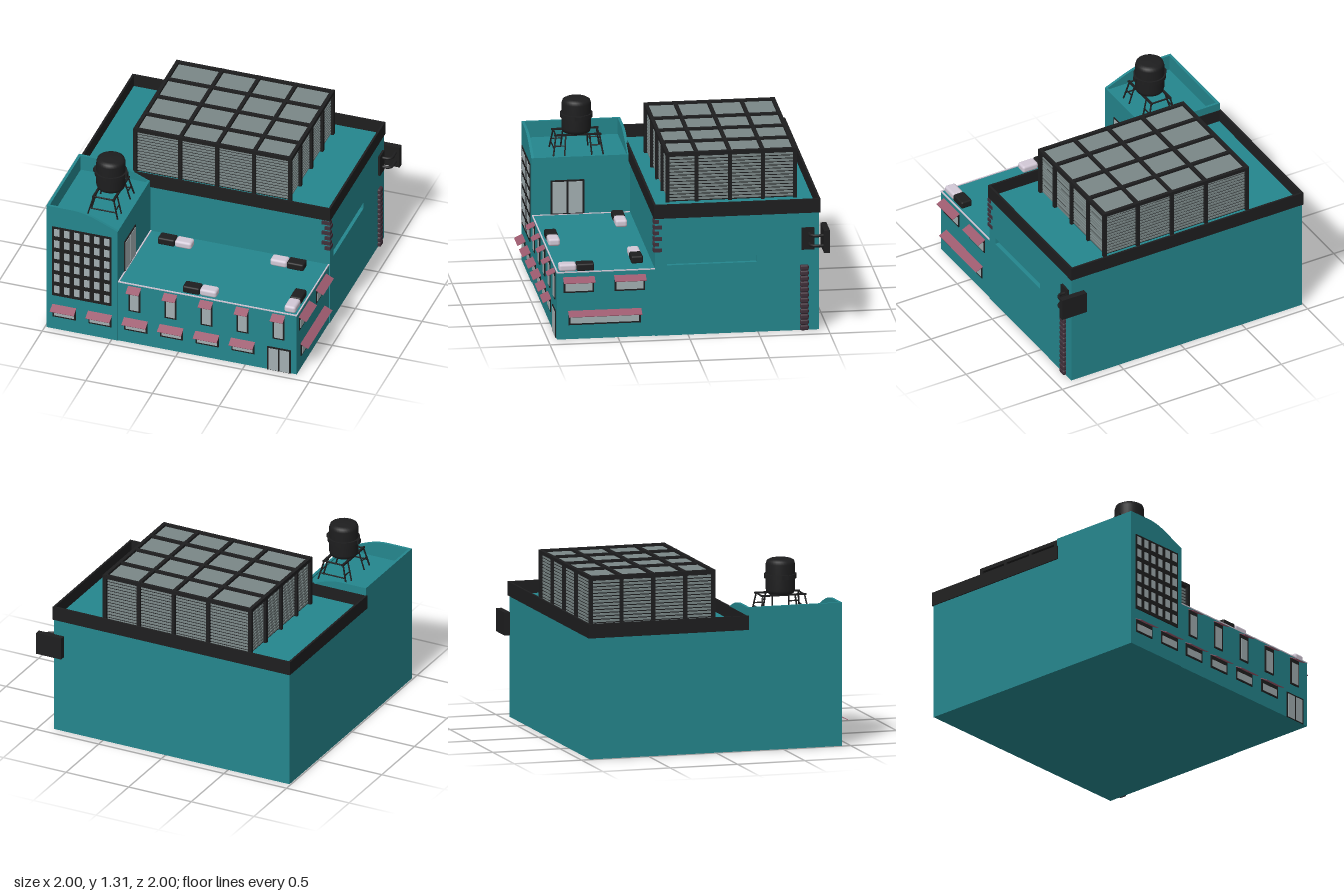
import * as THREE from 'three';
import { RoundedBoxGeometry } from 'three/addons/geometries/RoundedBoxGeometry.js';

const mat = (name, color, extra = {}) => Object.assign(new THREE.MeshStandardMaterial({ color, ...extra }), { name });
const M = {
  wall: mat('teal wall', 0x24868d),
  black: mat('black trim', 0x1e1e1f),
  glass: mat('pale glass', 0xa3afb2),
  grey: mat('grey louvre', 0x7a8787),
  pink: mat('pink awning', 0x9c5a6e, { side: THREE.DoubleSide }),
  white: mat('off white', 0xd2c8d6),
  plum: mat('dark plum', 0x40303a),
};

export function createModel() {
  const root = new THREE.Group();
  root.name = 'building';

  const add = (name, geo, material, parent = root) => {
    const m = new THREE.Mesh(geo, material);
    m.name = name;
    parent.add(m);
    return m;
  };
  // Box given by its minimum and maximum along each axis
  const box = (name, material, x0, x1, y0, y1, z0, z1, parent = root) => {
    const m = add(name, new THREE.BoxGeometry(x1 - x0, y1 - y0, z1 - z0), material, parent);
    m.position.set((x0 + x1) / 2, (y0 + y1) / 2, (z0 + z1) / 2);
    return m;
  };
  // Round bar between two points
  const bar = (name, a, b, r, parent) => {
    const p = new THREE.Vector3(...a), q = new THREE.Vector3(...b), d = q.clone().sub(p);
    const m = add(name, new THREE.CylinderGeometry(r, r, d.length(), 6), M.black, parent);
    m.position.copy(p).add(q).multiplyScalar(0.5);
    m.quaternion.setFromUnitVectors(new THREE.Vector3(0, 1, 0), d.normalize());
  };
  const group = (name, parent = root) => {
    const g = new THREE.Group();
    g.name = name;
    parent.add(g);
    return g;
  };

  // Main hall, its right wall pierced by a shallow slot
  box('mainHall', M.wall, -0.99, 0.86, 0, 0.88, -0.935, 0.235);
  const side = new THREE.Shape([[-0.235, 0], [0.935, 0], [0.935, 0.88], [-0.235, 0.88]].map(p => new THREE.Vector2(...p)));
  side.holes.push(new THREE.Path([[-0.15, 0.52], [-0.15, 0.57], [0.49, 0.57], [0.49, 0.52]].map(p => new THREE.Vector2(...p))));
  const sideWall = add('rightWall', new THREE.ExtrudeGeometry(side, { depth: 0.03, bevelEnabled: false }), M.wall);
  sideWall.rotation.y = Math.PI / 2;
  sideWall.position.x = 0.86;

  // Black parapet around the hall roof
  const parapet = group('parapet');
  for (const [z0, z1] of [[-0.945, -0.93], [0.23, 0.245]]) box('parapetLong', M.black, -0.998, 0.896, 0.87, 0.972, z0, z1, parapet);
  for (const [x0, x1] of [[-0.998, -0.983], [0.881, 0.896]]) box('parapetShort', M.black, x0, x1, 0.87, 0.972, -0.93, 0.23, parapet);

  // Front wing with a pale roof edge
  box('frontWing', M.wall, -0.455, 0.885, 0, 0.495, 0.235, 0.935);
  box('frontEdge', M.white, -0.455, 0.887, 0.492, 0.5, 0.928, 0.937);
  box('rightEdge', M.white, 0.878, 0.887, 0.492, 0.5, 0.235, 0.928);
  box('leftEdge', M.white, -0.455, -0.445, 0.492, 0.5, 0.235, 0.928);

  // Corner tower with a curved, hollow top
  const tower = group('tower');
  box('towerBody', M.wall, -0.99, -0.455, 0, 0.912, 0.235, 0.94, tower);
  const crest = new THREE.Shape();
  crest.moveTo(-0.99, 0.9);
  crest.lineTo(-0.455, 0.9);
  crest.lineTo(-0.455, 0.922);
  crest.bezierCurveTo(-0.6, 0.98, -0.68, 1.03, -0.8, 1.03);
  crest.lineTo(-0.99, 1.03);
  const crestGeo = new THREE.ExtrudeGeometry(crest, { depth: 0.02, bevelEnabled: false, curveSegments: 16 });
  for (const z of [0.235, 0.92]) add('towerCrest', crestGeo, M.wall, tower).position.z = z;
  box('towerLeftWall', M.wall, -0.99, -0.97, 0.9, 1.03, 0.255, 0.92, tower);
  box('towerRightWall', M.wall, -0.475, -0.455, 0.9, 0.922, 0.255, 0.92, tower);

  // Tower window grid
  const grid = group('towerWindows');
  box('gridPanel', M.black, -0.945, -0.5, 0.285, 0.865, 0.94, 0.946, grid);
  for (let i = 0; i < 6; i++) for (let j = 0; j < 6; j++) {
    const x = -0.91 + i * 0.075, y = 0.34 + j * 0.096;
    box('gridPane', M.glass, x - 0.02, x + 0.02, y - 0.03, y + 0.03, 0.946, 0.949, grid);
  }

  // Framed opening, built facing +z: width, y range, panes and optional awning
  const opening = (name, x, z, turn, w, y0, y1, panes, awning) => {
    const g = group(name);
    g.position.set(x, 0, z);
    g.rotation.y = turn;
    box('frame', M.black, -w / 2, w / 2, y0, y1, -0.002, 0.006, g);
    const f = 0.012, pw = (w - f * (panes + 1)) / panes, top = y1 - (awning ? 0.033 : f);
    for (let i = 0; i < panes; i++) {
      const px = -w / 2 + f + i * (pw + f);
      box('pane', M.glass, px, px + pw, y0 + (y0 ? f : 0.004), top, 0.006, 0.009, g);
    }
    if (awning) {
      const a = add('awning', new THREE.BoxGeometry(w + 0.008, 0.004, 0.066), M.pink, g);
      a.position.set(0, y1 - 0.012, 0.029);
      a.rotation.x = 0.47;
    }
  };
  for (let i = 0; i < 6; i++) opening('lowerWindow', -0.855 + i * 0.2675, i < 2 ? 0.94 : 0.935, 0, 0.172, 0.105, 0.202, 1, true);
  for (let i = 0; i < 5; i++) opening('upperWindow', -0.33 + i * 0.27, 0.935, 0, 0.09, 0.27, 0.474, 1, true);
  opening('frontDoor', 0.753, 0.935, 0, 0.176, 0, 0.195, 2, false);
  const R = Math.PI / 2;
  opening('sideWideWindow', 0.885, 0.595, R, 0.515, 0.105, 0.206, 1, true);
  for (const z of [0.415, 0.78]) opening('sideWindow', 0.885, z, R, 0.218, 0.345, 0.457, 1, true);
  opening('terraceDoor', -0.455, 0.683, R, 0.24, 0.495, 0.752, 2, false);

  // Rooftop units, half black and half white
  const unit = (x, z, turn) => {
    const g = group('roofUnit');
    g.position.set(x, 0.522, z);
    g.rotation.y = turn;
    add('blackHalf', new RoundedBoxGeometry(0.126, 0.055, 0.085, 2, 0.012), M.black, g).position.x = -0.063;
    add('whiteHalf', new RoundedBoxGeometry(0.126, 0.055, 0.085, 2, 0.018), M.white, g).position.x = 0.063;
  };
  unit(-0.224, 0.343, 0);
  unit(0.147, 0.872, 0);
  unit(0.617, 0.343, Math.PI);
  unit(0.825, 0.792, -R);

  // Louvred skylight house
  const sky = group('skylight');
  const X = [-0.612, -0.277, 0, 0.277, 0.548], Z = [-0.808, -0.58, -0.345, -0.107, 0.102], t = 0.013;
  box('skylightCore', M.black, -0.6, 0.536, 0.88, 1.225, -0.796, 0.09, sky);
  box('roofGlass', M.grey, -0.6, 0.536, 1.225, 1.231, -0.796, 0.09, sky);
  for (let y = 0.89; y < 1.215; y += 0.0235) box('louvre', M.grey, -0.605, 0.541, y, y + 0.0155, -0.801, 0.095, sky);
  for (const x of X) {
    box('roofBar', M.black, x - t, x + t, 1.222, 1.249, Z[0] - t, Z[4] + t, sky);
    for (const z of [Z[0], Z[4]]) box('post', M.black, x - t, x + t, 0.88, 1.23, z - t, z + t, sky);
  }
  for (const z of Z) {
    box('roofBar', M.black, X[0] - t, X[4] + t, 1.222, 1.248, z - t, z + t, sky);
    for (const x of [X[0], X[4]]) box('post', M.black, x - t, x + t, 0.88, 1.23, z - t, z + t, sky);
  }

  // Water tank on splayed trestles
  const tank = group('waterTank');
  tank.position.set(-0.625, 0, 0.597);
  const profile = [[0, 1.05], [0.08, 1.052], [0.097, 1.062], [0.104, 1.085], [0.104, 1.27], [0.097, 1.293], [0.075, 1.305], [0, 1.308]];
  add('tankBody', new THREE.LatheGeometry(profile.map(p => new THREE.Vector2(...p)), 32), M.black, tank);
  add('tankBand', new THREE.CylinderGeometry(0.116, 0.116, 0.03, 32), M.black, tank).position.y = 1.183;
  for (const s of [-1, 1]) {
    box('bandLug', M.black, s * 0.118 - 0.008, s * 0.118 + 0.008, 1.168, 1.198, -0.02, 0.02, tank);
    box('deckBeam', M.black, s * 0.075 - 0.008, s * 0.075 + 0.008, 1.048, 1.06, -0.168, 0.168, tank);
    for (const e of [-1, 1]) {
      bar('outerLeg', [s * 0.075, 1.055, e * 0.155], [s * 0.112, 0.912, e * 0.178], 0.006, tank);
      bar('innerLeg', [s * 0.075, 1.055, e * 0.085], [s * 0.112, 0.912, e * 0.075 + e * 0.022], 0.006, tank);
      bar('sideRung', [s * 0.095, 0.98, e * 0.166], [s * 0.095, 0.98, e * 0.09], 0.005, tank);
    }
  }
  for (const e of [-1, 1]) {
    bar('topRung', [-0.075, 1.052, e * 0.155], [0.075, 1.052, e * 0.155], 0.006, tank);
    bar('lowRung', [-0.1, 0.96, e * 0.17], [0.1, 0.96, e * 0.17], 0.005, tank);
  }

  // Corner bricks and the ribbed column on the right wall
  for (let i = 0; i < 6; i++) {
    const y = 0.635 + i * 0.0425, o = i % 2 ? 0.022 : 0;
    box('cornerBrick', M.plum, 0.855 - o, 0.896, y - 0.013, y + 0.013, 0.208 - (0.022 - o), 0.248);
  }
  for (let i = 0; i < 12; i++) {
    const rib = add('columnRib', new RoundedBoxGeometry(0.045, 0.0405, 0.062, 2, 0.012), M.plum);
    rib.position.set(0.89, 0.0205 + i * 0.0405, -0.83);
  }

  // Blank hanging sign on two bent arms
  const sign = group('sign');
  box('signBoard', M.black, 0.8, 1, 0.6, 0.765, -1, -0.957, sign);
  box('wallPlate', M.black, 0.885, 0.905, 0.6, 0.762, -0.9, -0.81, sign);
  for (const y of [0.645, 0.72]) {
    const arm = new THREE.CatmullRomCurve3([[0.9, -0.865], [0.945, -0.868], [0.965, -0.89], [0.968, -0.96]].map(([x, z]) => new THREE.Vector3(x, y, z)));
    add('signArm', new THREE.TubeGeometry(arm, 12, 0.011, 8), M.black, sign);
  }
  return root;
}
